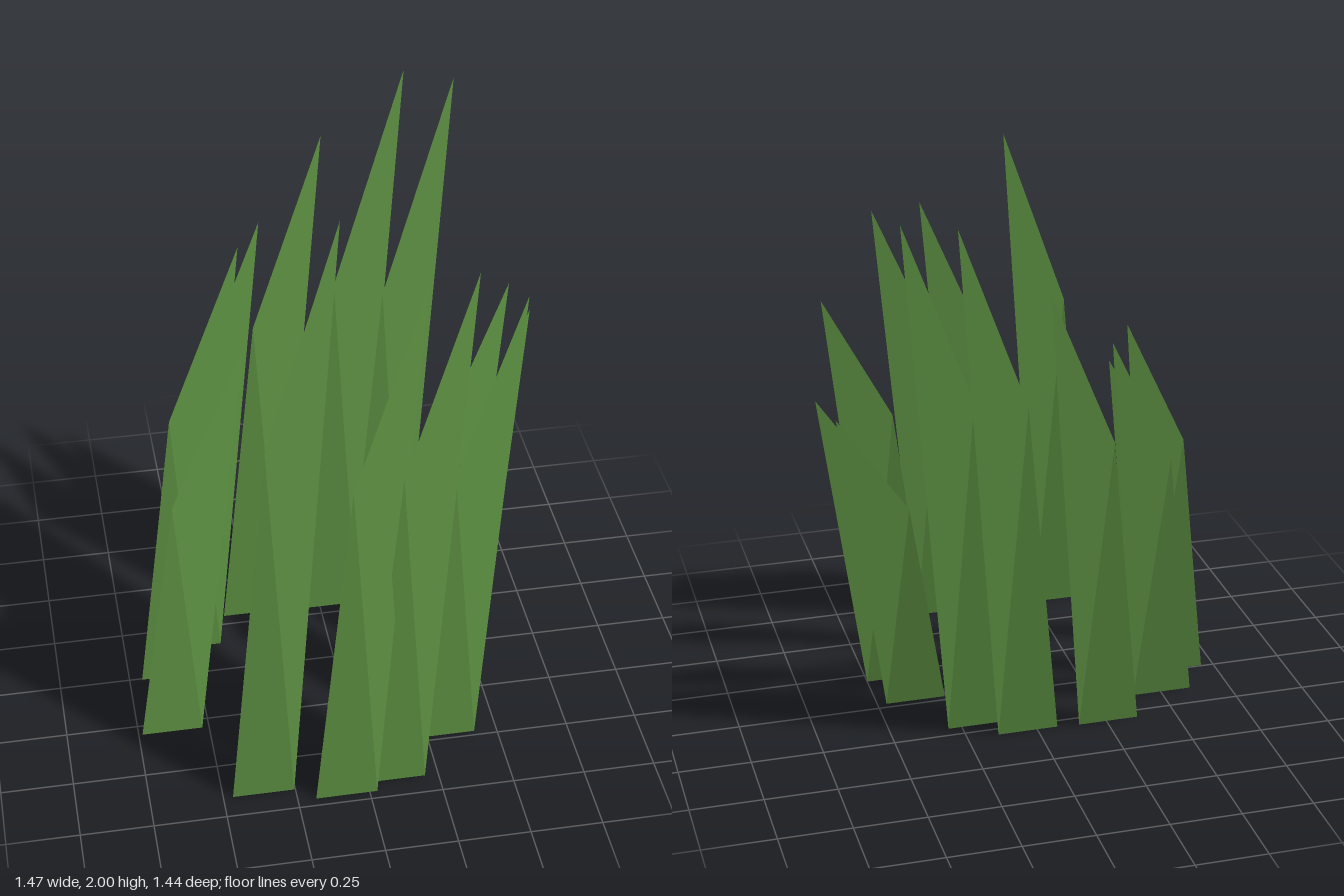
import * as THREE from 'three';

// Each blade: left base corner x, z and height
const BLADES = [
  [-0.467, 0.66, 2.0], [-0.187, 0.717, 1.765], [-0.01, 0.67, 1.765],
  [0.207, 0.48, 1.53], [0.287, 0.203, 1.29], [0.255, 0.025, 1.29],
  [0.085, -0.205, 2.0], [-0.073, -0.29, 2.0], [-0.363, -0.297, 1.765],
  [-0.61, -0.145, 1.53], [-0.705, 0.005, 1.53], [-0.737, 0.295, 1.29],
];

// One bent blade: lower and upper triangle, leaning to the back left
function bladeGeometry(height) {
  const baseL = [0, 0, 0];
  const baseR = [0.213, 0, 0];
  const bend = [0.16, height * 0.65, -0.192];
  const tip = [0.446, height, -0.427];
  const geometry = new THREE.BufferGeometry();
  geometry.setAttribute('position', new THREE.Float32BufferAttribute(
    [baseL, baseR, bend, baseR, tip, bend].flat(), 3));
  geometry.computeVertexNormals();
  return geometry;
}

export function createModel() {
  const group = new THREE.Group();
  group.name = 'grassClump';
  const grassGreen = new THREE.MeshStandardMaterial({ color: 0x5a8c40, side: THREE.DoubleSide });
  grassGreen.name = 'grassGreen';

  // Ring of blades
  BLADES.forEach(([x, z, height], i) => {
    const blade = new THREE.Mesh(bladeGeometry(height), grassGreen);
    blade.name = `grassBlade${i + 1}`;
    blade.position.set(x, 0, z);
    group.add(blade);
  });
  return group;
}
